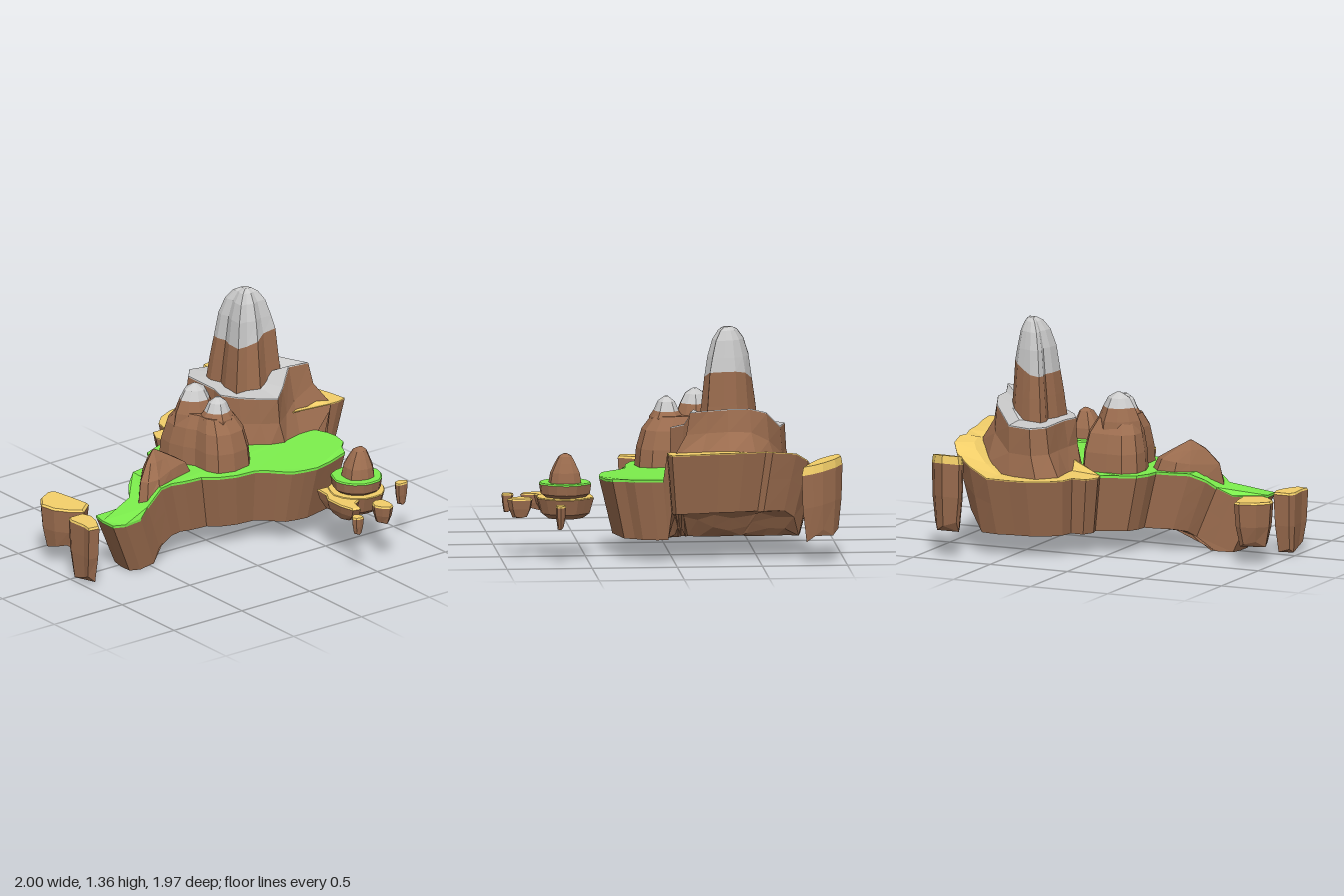
import * as THREE from 'three';

const BROWN = 0x9c6d4f, GREEN = 0x7cee4c, SAND = 0xf3cf69, SNOW = 0xcccccc;
const mats = {};
const mat = (color) => (mats[color] ??= new THREE.MeshStandardMaterial({ color, flatShading: true, side: THREE.DoubleSide }));
const ramp = (a, b, v) => THREE.MathUtils.smoothstep(v, a, b);

// A ring is a list of Vector3; outlines are [x, z] pairs, counter-clockwise seen from above
const ring = (outline, y, s = 1, cx = 0, cz = 0) => outline.map(([x, z]) => {
  const px = cx + (x - cx) * s, pz = cz + (z - cz) * s;
  return new THREE.Vector3(px, typeof y === 'function' ? y(px, pz) : y, pz);
});
const mix = (a, b, t) => a.map((p, i) => p.clone().lerp(b[i], t));
// Irregular oval outline
const blob = (cx, cz, rx, rz, n = 14, seed = 1, rough = 0.07) => Array.from({ length: n }, (_, i) => {
  const a = i / n * Math.PI * 2;
  const k = 1 + rough * Math.sin(i * 2.4 + seed) + rough * 0.6 * Math.sin(i * 4.1 + seed * 3);
  return [cx + Math.cos(a) * rx * k, cz - Math.sin(a) * rz * k];
});

// Skin rings from bottom to top, closing the ends
function loft(name, color, rings, top = true, bottom = false) {
  const pos = [], tri = (...v) => v.forEach((p) => pos.push(p.x, p.y, p.z));
  for (let i = 0; i < rings.length - 1; i++) {
    const A = rings[i], B = rings[i + 1], n = A.length;
    for (let j = 0; j < n; j++) {
      const k = (j + 1) % n;
      tri(A[j], A[k], B[k]);
      tri(A[j], B[k], B[j]);
    }
  }
  const cap = (r, up) => {
    const flat = r.map((p) => new THREE.Vector2(p.x, -p.z));
    for (const [a, b, c] of THREE.ShapeUtils.triangulateShape(flat, [])) {
      const ccw = THREE.ShapeUtils.area([flat[a], flat[b], flat[c]]) > 0;
      if (ccw === up) tri(r[a], r[b], r[c]);
      else tri(r[a], r[c], r[b]);
    }
  };
  if (top) cap(rings[rings.length - 1], true);
  if (bottom) cap(rings[0], false);
  const g = new THREE.BufferGeometry();
  g.setAttribute('position', new THREE.Float32BufferAttribute(pos, 3));
  g.computeVertexNormals();
  const m = new THREE.Mesh(g, mat(color));
  m.name = name;
  return m;
}

// Floating rock with a sandy cap
function rock(name, outline, yTop, yBottom, shrink, tilt = 0, band = 0.012) {
  const n = outline.length;
  const cx = outline.reduce((s, p) => s + p[0], 0) / n, cz = outline.reduce((s, p) => s + p[1], 0) / n;
  const at = (s, y) => ring(outline, (x, z) => y + tilt * (z - cz), s, cx, cz);
  const h = yTop - yBottom, g = new THREE.Group();
  g.name = name;
  const low = at(shrink, yBottom).map((p, i) => (p.y += (i % 3) * h * 0.06, p));
  g.add(loft('rockBody', BROWN, [low, at((1 + shrink) / 2 + 0.06, yBottom + h * 0.45), at(1, yTop - band)], false, true));
  g.add(loft('rockSand', SAND, [at(1, yTop - band), at(0.92, yTop)]));
  return g;
}

export function createModel() {
  const model = new THREE.Group();
  const add = (...m) => model.add(...m);

  // Island rim: low tail, grassy front, sandy back
  const tailFront = [[-0.8, 0.05], [-0.8, 0.15], [-0.73, 0.18], [-0.6, 0.16], [-0.52, 0.12], [-0.42, 0.12]];
  const grassFront = [[-0.33, 0.1], [-0.25, 0.12], [-0.13, 0.13], [-0.06, 0.19], [0.05, 0.23], [0.18, 0.24], [0.24, 0.28], [0.28, 0.33],
    [0.34, 0.39], [0.42, 0.41], [0.5, 0.42], [0.62, 0.39], [0.75, 0.36], [0.78, 0.29], [0.83, 0.24], [0.85, 0.14], [0.84, 0.07]];
  const sandRim = [[0.88, 0.05], [0.94, 0.05], [1, 0.03], [0.98, -0.1], [0.94, -0.25], [0.92, -0.4], [0.88, -0.53], [0.9, -0.57],
    [0.87, -0.71], [0.82, -0.78], [0.72, -0.82], [0.6, -0.84], [0.47, -0.82], [0.36, -0.81], [0.25, -0.76], [0.18, -0.69], [0.16, -0.6],
    [0.07, -0.6], [0.03, -0.52], [0.05, -0.45]];
  const grassBack = [[-0.05, -0.41], [-0.15, -0.37], [-0.19, -0.29], [-0.2, -0.21], [-0.3, -0.2], [-0.4, -0.18]];
  const tailBack = [[-0.48, -0.12], [-0.52, -0.06], [-0.62, -0.05], [-0.78, -0.04]];
  const sandY = (x, z) => 0.47 + 0.19 * ramp(0.56, 0.86, x) * (1 - 0.4 * ramp(0.66, 0.84, -z));
  const grassY = (x) => 0.335 + 0.135 * ramp(-0.58, -0.42, x) + 0.025 * ramp(0.6, 0.85, x);
  const rim = [...tailFront, ...grassFront, ...sandRim, ...grassBack, ...tailBack];
  const upper = [...ring([...tailFront, ...grassFront], grassY), ...ring(sandRim, sandY), ...ring([...grassBack, ...tailBack], grassY)];
  upper.forEach((p) => { p.y -= 0.006; });
  // Underside: deep under the tail, rising toward the tall right edge
  const under = (s) => ring(rim, (x, z) => 0.13 * ramp(-0.49, -0.33, x) + 0.17 * ramp(0.68, 0.81, x) * ramp(-0.035, -0.015, -z), s, 0.4, -0.2);
  const lower = under(0.87);
  add(loft('islandCliff', BROWN, [under(0.5), under(0.62), under(0.7), under(0.78), lower, mix(lower, upper, 0.55), upper], false, true));

  // Ground covers, the sand rising to the right
  const cover = (name, pts) => add(loft(name, GREEN, [ring(pts, (x) => grassY(x) - 0.015), ring(pts, grassY)]));
  cover('tailGrass', [...tailFront, [-0.4, -0.18], ...tailBack]);
  cover('grass', [[-0.42, 0.12], ...grassFront, [0.8, -0.04], [0.6, -0.15], [0.4, -0.28], [0.28, -0.34], [0.05, -0.45], ...grassBack]);
  add(loft('sand', SAND, [ring(sandRim, (x, z) => sandY(x, z) - 0.006), ring(sandRim, sandY),
    ring(sandRim, sandY, 0.75, 0.55, -0.3), ring(sandRim, sandY, 0.5, 0.55, -0.3)], false));

  // Large mountain: broad base with a snowy shelf
  const foot = ring([[0.23, -0.62], [0.25, -0.45], [0.24, -0.3], [0.29, -0.18], [0.36, -0.08], [0.46, 0], [0.57, 0.03], [0.7, 0], [0.8, 0],
    [0.92, 0.02], [0.89, -0.15], [0.85, -0.32], [0.81, -0.48], [0.7, -0.62], [0.52, -0.7], [0.33, -0.73]], (x, z) => sandY(x, z) - 0.03);
  // the front foot reaches down to the grass
  foot.forEach((p) => { if (p.z > -0.05 && p.x < 0.85) p.y = 0.45; });
  const shelf = ring([[0.33, -0.6], [0.33, -0.47], [0.33, -0.35], [0.3, -0.25], [0.36, -0.15], [0.44, -0.07], [0.53, 0], [0.62, -0.07],
    [0.7, -0.12], [0.82, -0.09], [0.77, -0.2], [0.72, -0.32], [0.71, -0.45], [0.67, -0.55], [0.55, -0.64], [0.4, -0.68]],
  (x) => 0.76 + 0.13 * ramp(0.58, 0.71, x));
  const shelfLow = mix(foot, shelf, 0.98);
  const slope = mix(foot, shelf, 0.78);
  slope.forEach((p, i) => { p.y = THREE.MathUtils.lerp(foot[i].y, shelf[i].y, 0.5); });
  // flat ledge around the spire, stepping up on the right
  const shelfInner = mix(shelf, shelf.map(() => new THREE.Vector3(0.55, 0.78, -0.33)), 0.45);
  add(loft('mountainBase', BROWN, [foot, slope, shelfLow], false));
  add(loft('snowShelf', SNOW, [shelfLow, shelf, shelfInner]));

  // Tall ribbed spire with a kite-shaped plan
  const spire = [[0.7, -0.2], [0.67, -0.3], [0.65, -0.38], [0.6, -0.45], [0.54, -0.48], [0.48, -0.505], [0.41, -0.51], [0.4, -0.46],
    [0.42, -0.39], [0.395, -0.32], [0.39, -0.21], [0.46, -0.205], [0.53, -0.175], [0.6, -0.205]];
  const spireAt = (s, y) => ring(spire, y, s, 0.55, -0.33);
  const snowLine = spireAt(0.86, (x) => 1.03 + 0.07 * ramp(0.45, 0.65, x));
  add(loft('spireRock', BROWN, [spireAt(1.08, 0.74), spireAt(0.97, 0.9), snowLine], false));
  add(loft('spireSnow', SNOW, [snowLine, spireAt(0.74, 1.18), spireAt(0.56, 1.28), spireAt(0.34, 1.335), spireAt(0.14, 1.355)]));

  // Twin-peaked mountain
  const twin = [[-0.12, -0.3], [-0.13, -0.2], [-0.1, -0.1], [-0.06, -0.03], [-0.06, 0.08], [-0.02, 0.15], [0.08, 0.18], [0.2, 0.16],
    [0.26, 0.09], [0.27, -0.02], [0.25, -0.15], [0.24, -0.29], [0.2, -0.36], [0.05, -0.37], [-0.05, -0.37]];
  const twinAt = (s, y) => ring(twin, y, s, 0.075, -0.09);
  add(loft('twinBody', BROWN, [twinAt(1, 0.44), twinAt(0.95, 0.58), twinAt(0.83, 0.69), twinAt(0.6, 0.77)]));
  for (const [x, z, top, r] of [[0.055, -0.18, 0.92, 0.145], [0.095, -0.01, 0.88, 0.12]]) {
    const o = blob(x, z, r, r * 0.9, 10, x * 40, 0.05), at = (s, y) => ring(o, y, s, x, z);
    const line = at(0.66, top - 0.085);
    add(loft('twinPeakRock', BROWN, [at(1, 0.66), at(0.88, 0.76), line], false));
    add(loft('twinPeakSnow', SNOW, [line, at(0.45, top - 0.03), at(0.1, top)]));
  }

  // Low hill above the tail
  const hill = [[-0.5, 0.09], [-0.42, 0.105], [-0.28, 0.06], [-0.2, 0.04], [-0.12, 0.02], [-0.12, -0.1], [-0.18, -0.17], [-0.3, -0.18],
    [-0.38, -0.13], [-0.45, -0.05], [-0.53, 0.04]];
  const hillAt = (s, y) => ring(hill, y, s, -0.35, -0.05);
  add(loft('hill', BROWN, [hillAt(1, (x) => grassY(x) - 0.02), hillAt(0.84, (x) => 0.5 + 0.035 * ramp(-0.5, -0.2, x)),
    hillAt(0.45, 0.59), hillAt(0.04, 0.645)]));

  // Small islet: sandy ledge, grassy step and rounded peak
  const islet = new THREE.Group();
  islet.name = 'islet';
  const ledge = blob(0.63, 0.63, 0.165, 0.17, 16, 1, 0.04), ledgeAt = (s, y) => ring(ledge, y, s, 0.63, 0.63);
  islet.add(loft('isletRock', BROWN, [ledgeAt(0.62, 0.25), ledgeAt(0.85, 0.28), ledgeAt(1, 0.37)], false, true));
  islet.add(loft('isletSand', SAND, [ledgeAt(1, 0.37), ledgeAt(0.98, 0.375)]));
  islet.add(loft('isletStep', BROWN, [ledgeAt(0.66, 0.37), ledgeAt(0.86, 0.395), ledgeAt(0.91, 0.452)], false));
  islet.add(loft('isletGrass', GREEN, [ledgeAt(0.91, 0.452), ledgeAt(0.87, 0.46)]));
  const knob = blob(0.64, 0.63, 0.1, 0.1, 12, 4, 0.06), knobAt = (s, y) => ring(knob, y, s, 0.66, 0.63);
  islet.add(loft('isletPeak', BROWN, [knobAt(1, 0.45), knobAt(0.88, 0.52), knobAt(0.62, 0.575), knobAt(0.4, 0.615), knobAt(0.1, 0.632)]));
  islet.add(rock('isletArm', [[0.45, 0.48], [0.44, 0.58], [0.4, 0.65], [0.4, 0.78], [0.42, 0.87], [0.47, 0.88], [0.49, 0.8], [0.54, 0.77],
    [0.56, 0.6], [0.6, 0.49]], 0.37, 0.27, 0.65, 0, 0.008));
  add(islet);

  // Floating rocks and chips
  add(rock('leftBackRock', [[-0.985, -0.3], [-0.96, -0.21], [-0.9, -0.14], [-0.83, -0.09], [-0.74, -0.16], [-0.77, -0.3], [-0.8, -0.41],
    [-0.84, -0.43], [-0.93, -0.38]], 0.37, 0.1, 0.7, -0.05));
  add(rock('leftFrontRock', [[-1, 0], [-0.99, 0.12], [-1, 0.18], [-0.93, 0.19], [-0.88, 0.1], [-0.86, 0.02], [-0.88, -0.04], [-0.98, -0.04]],
    0.375, 0.015, 0.7));
  add(rock('backRock', [[0.715, -0.93], [0.74, -0.86], [0.82, -0.8], [0.95, -0.735], [0.96, -0.8], [0.945, -0.86], [0.89, -0.94],
    [0.82, -0.985], [0.715, -0.975]], 0.6, 0.15, 0.78, -0.2, 0.05));
  for (const [x, z, rx, rz, top, bottom] of [[0.62, 0.89, 0.055, 0.075, 0.365, 0.25], [0.39, 0.95, 0.035, 0.035, 0.36, 0.25],
    [0.92, 0.68, 0.045, 0.03, 0.36, 0.22]]) {
    add(rock('chip', blob(x, z, rx, rz, 8, x * 9), top, bottom, 0.6, 0, 0.01));
  }
  return model;
}
